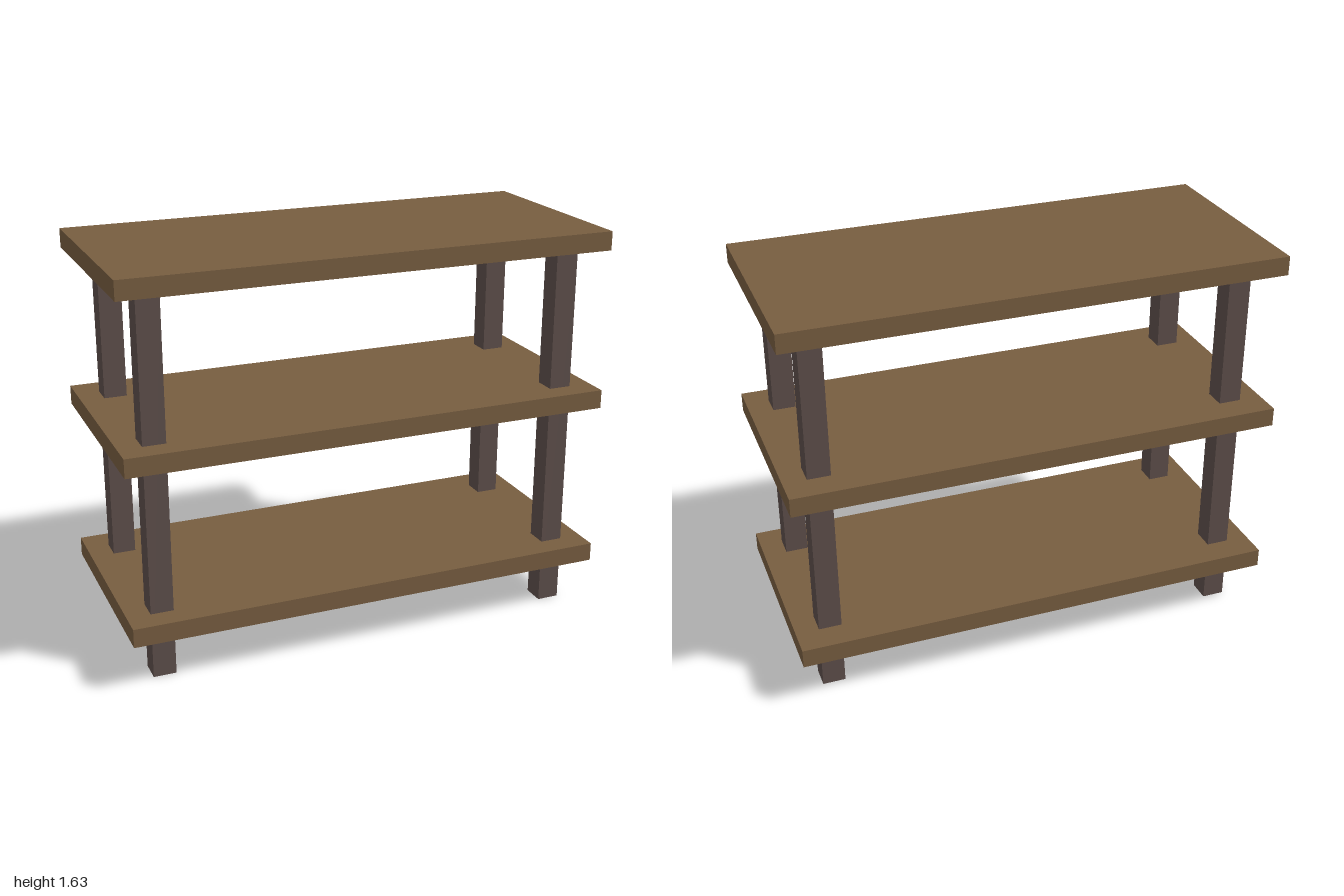
import * as THREE from 'three';

export function createModel() {
  const model = new THREE.Group();
  model.name = 'shelfUnit';

  const wood = new THREE.MeshStandardMaterial({ color: 0x775d40 });
  wood.name = 'wood brown';
  const darkWood = new THREE.MeshStandardMaterial({ color: 0x5d4e4a });
  darkWood.name = 'dark grey brown';

  const addBox = (name, size, position, material) => {
    const mesh = new THREE.Mesh(new THREE.BoxGeometry(...size), material);
    mesh.name = name;
    mesh.position.set(...position);
    model.add(mesh);
  };

  // Three equal boards, placed by their undersides
  const thickness = 0.077;
  const boards = { bottomShelf: 0.198, middleShelf: 0.889, topShelf: 1.55 };
  for (const [name, y] of Object.entries(boards)) {
    addBox(name, [2, thickness, 0.882], [0, y + thickness / 2, 0], wood);
  }

  // Four square posts from the floor to the top board; the back pair sits slightly inward
  const postHeight = boards.topShelf;
  for (const [side, x] of [['Left', 0.86], ['Right', -0.86]]) {
    for (const [end, z] of [['front', 0.3], ['back', -0.28]]) {
      addBox(`${end}${side}Post`, [0.092, postHeight, 0.092], [x, postHeight / 2, z], darkWood);
    }
  }

  return model;
}
